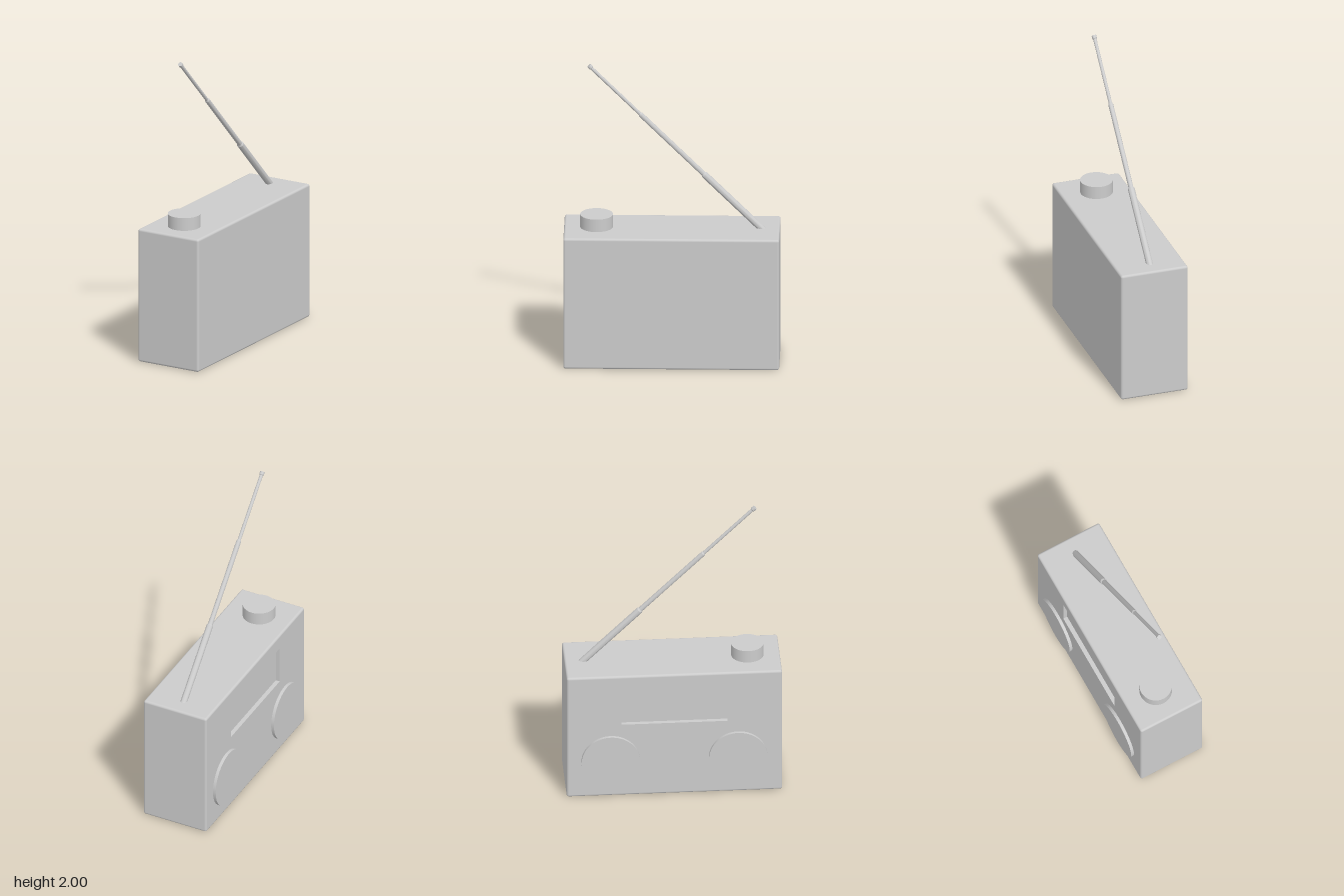
import * as THREE from 'three';
import { RoundedBoxGeometry } from 'three/addons/geometries/RoundedBoxGeometry.js';
import { mergeGeometries, toCreasedNormals } from 'three/addons/utils/BufferGeometryUtils.js';

const grey = new THREE.MeshStandardMaterial({ color: 0xcccccc });
const greyInside = new THREE.MeshStandardMaterial({ color: 0xcccccc, side: THREE.BackSide });

const WIDTH = 1.38, HEIGHT = 0.89, DEPTH = 0.452, EDGE = 0.015;
const WINDOW = { width: 0.68, height: 0.26, y: 0.66, depth: 0.028 };

function addPart(parent, name, geometry, x = 0, y = 0, z = 0, material = grey) {
  const mesh = new THREE.Mesh(geometry, material);
  mesh.name = name;
  mesh.position.set(x, y, z);
  parent.add(mesh);
  return mesh;
}

// Removes the flat triangles that lie at the largest z
function openFront(source) {
  const g = source.index ? source.toNonIndexed() : source;
  g.computeBoundingBox();
  const limit = g.boundingBox.max.z - 1e-4;
  const p = g.attributes.position;
  const keep = [];
  for (let i = 0; i < p.count; i += 3) {
    if (Math.min(p.getZ(i), p.getZ(i + 1), p.getZ(i + 2)) < limit) keep.push(i, i + 1, i + 2);
  }
  g.setIndex(keep);
  g.clearGroups();
  return g.toNonIndexed();
}

function rectangle(PathType, w, h, y = 0) {
  return new PathType([[-1, -1], [1, -1], [1, 1], [-1, 1]]
    .map(([sx, sy]) => new THREE.Vector2(sx * w / 2, y + sy * h / 2)));
}

// Rounded case whose front panel has a window cut out
function caseGeometry() {
  const shell = openFront(new RoundedBoxGeometry(WIDTH, HEIGHT, DEPTH, 3, EDGE));
  const panelShape = rectangle(THREE.Shape, WIDTH - 2 * EDGE, HEIGHT - 2 * EDGE);
  panelShape.holes.push(rectangle(THREE.Path, WINDOW.width, WINDOW.height, WINDOW.y - HEIGHT / 2));
  const panel = new THREE.ShapeGeometry(panelShape).toNonIndexed();
  panel.translate(0, 0, DEPTH / 2);
  return mergeGeometries([shell, panel]);
}

// Three telescoping tubes and a small end cap, as one profile turned around y
function antennaGeometry() {
  const profile = [
    [0, -0.03], [0.022, -0.03], [0.022, 0.505], [0.016, 0.515],
    [0.016, 1.08], [0.011, 1.09], [0.011, 1.525],
    [0.015, 1.53], [0.015, 1.55], [0, 1.55],
  ].map(([r, y]) => new THREE.Vector2(r, y));
  return toCreasedNormals(new THREE.LatheGeometry(profile, 24), 0.4);
}

export function createModel() {
  const model = new THREE.Group();
  model.name = 'portableRadio';

  // Built with the speaker panel towards +z, then turned towards -x
  const radio = new THREE.Group();
  radio.name = 'radio';
  radio.rotation.y = -Math.PI / 2;
  radio.position.x = 0.009;
  model.add(radio);

  addPart(radio, 'case', caseGeometry(), 0, HEIGHT / 2, 0);

  // Recessed display
  addPart(radio, 'displayRecess',
    openFront(new THREE.BoxGeometry(WINDOW.width, WINDOW.height, WINDOW.depth)),
    0, WINDOW.y, DEPTH / 2 - WINDOW.depth / 2, greyInside);

  // Speakers
  for (const [name, side] of [['leftSpeaker', -1], ['rightSpeaker', 1]]) {
    const disc = new THREE.CylinderGeometry(0.188, 0.188, 0.04, 64);
    disc.rotateX(Math.PI / 2);
    addPart(radio, name, disc, side * 0.408, 0.26, DEPTH / 2);
  }

  // Tuning knob
  addPart(radio, 'knob', new THREE.CylinderGeometry(0.105, 0.105, 0.1, 64), 0.482, 0.925, 0.005);

  // Antenna leaning forward along the case
  const antenna = addPart(radio, 'antenna', antennaGeometry(), -0.565, 0.892, 0.005);
  antenna.rotation.z = -Math.PI / 4;

  return model;
}
